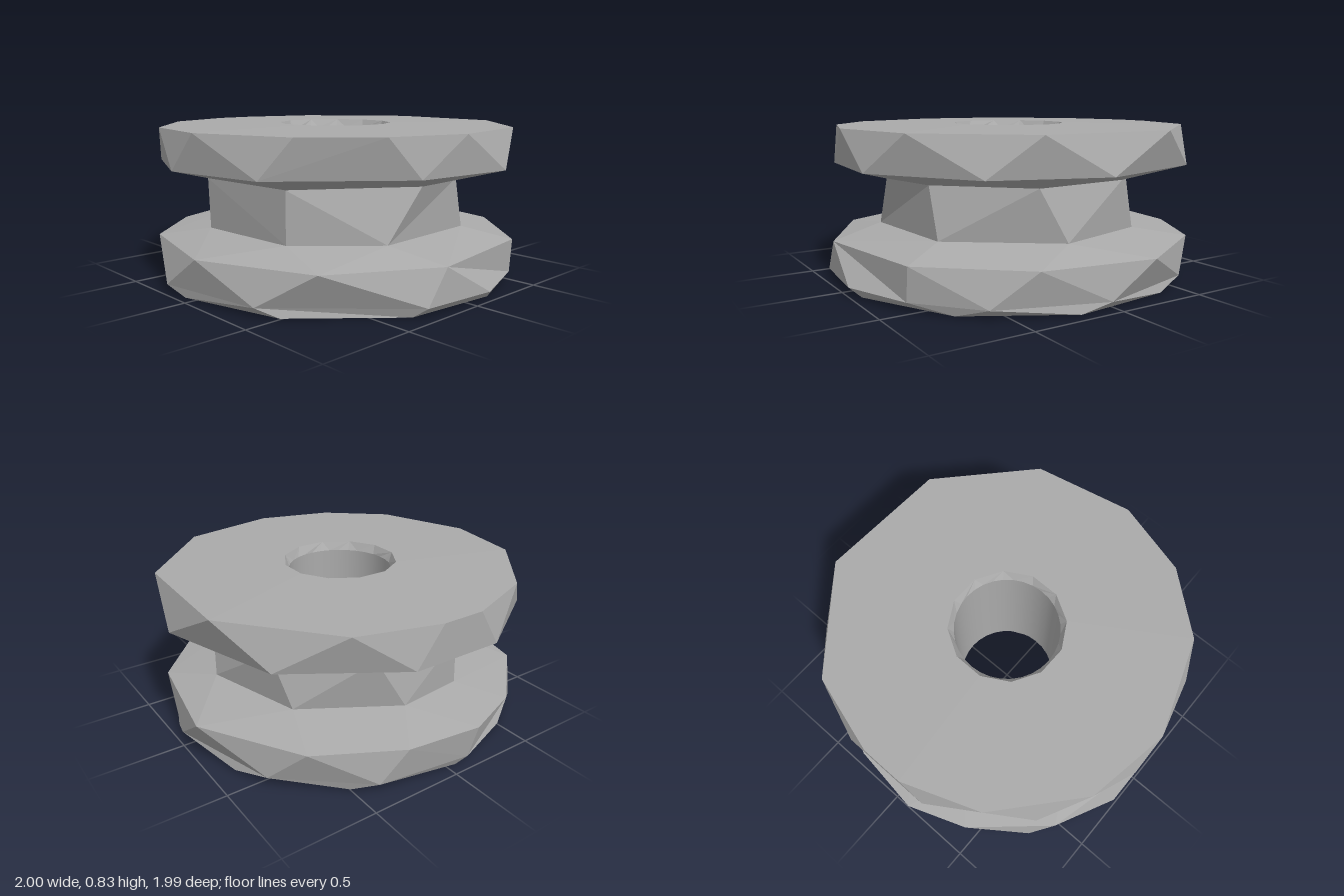
import * as THREE from 'three';

// A ring of [x, z] points at one height, sorted around the axis
function ring(y, pts) {
  return pts
    .map(([x, z]) => ({ p: [x, y, z], a: Math.atan2(x, z) }))
    .sort((s, t) => s.a - t.a);
}

function circle(y, r, n, turn = 0) {
  return ring(y, Array.from({ length: n }, (_, i) => {
    const a = (i / n) * Math.PI * 2 + turn;
    return [r * Math.sin(a), r * Math.cos(a)];
  }));
}

// Joins neighbouring rings with flat triangles, following the angles of their points
function facetedShell(rings) {
  const pos = [];
  const angle = (r, i) => (i < r.length ? r[i].a : r[i - r.length].a + Math.PI * 2);
  const point = (r, i) => r[i % r.length].p;
  for (let k = 0; k < rings.length - 1; k++) {
    const A = rings[k], B = rings[k + 1];
    let i = 0, j = 0;
    while (i < A.length || j < B.length) {
      const stepA = j >= B.length || (i < A.length && angle(A, i + 1) <= angle(B, j + 1));
      if (stepA) {
        pos.push(...point(A, i), ...point(A, i + 1), ...point(B, j));
        i++;
      } else {
        pos.push(...point(A, i), ...point(B, j + 1), ...point(B, j));
        j++;
      }
    }
  }
  const g = new THREE.BufferGeometry();
  g.setAttribute('position', new THREE.Float32BufferAttribute(pos, 3));
  g.computeVertexNormals();
  return g;
}

export function createModel() {
  const group = new THREE.Group();
  const stone = new THREE.MeshStandardMaterial({ color: 0xaaaaaa });
  stone.name = 'stoneGrey';
  const add = (name, geometry) => {
    const mesh = new THREE.Mesh(geometry, stone);
    mesh.name = name;
    group.add(mesh);
  };

  // Waist outlines, shared with the flanges
  const waistLow = ring(0.285, [[-0.26, 0.67], [0.34, 0.64], [0.67, 0.28], [0.63, -0.35],
    [0.12, -0.73], [-0.42, -0.58], [-0.71, -0.1], [-0.67, 0.27]]);
  const waistHigh = ring(0.555, [[-0.26, 0.68], [0.34, 0.64], [0.71, 0.08], [0.64, -0.28],
    [0.25, -0.67], [-0.3, -0.63], [-0.66, -0.25], [-0.68, 0.25]]);

  // Lower flange: hole bevel, underside, chipped rim and sloping shoulder
  add('lowerFlange', facetedShell([
    circle(0.045, 0.28, 32),
    circle(0, 0.31, 12, 0.1),
    ring(0.004, [[-0.06, 0.96], [0.5, 0.81], [0.9, 0.36], [0.95, -0.15], [0.7, -0.65],
      [0.2, -0.94], [-0.35, -0.88], [-0.8, -0.5], [-0.94, 0.05], [-0.8, 0.5], [-0.45, 0.84]]),
    ring(0.05, [[-0.19, 0.985], [0.41, 0.89], [0.96, 0.32], [1, -0.1], [0.86, -0.48],
      [0.6, -0.79], [0.05, -0.98], [-0.55, -0.81], [-0.9, -0.4], [-0.97, 0.1], [-0.66, 0.73]]),
    ring(0.225, [[-0.55, 0.82], [0.07, 0.98], [0.67, 0.73], [0.97, 0.2], [0.86, -0.5],
      [0.4, -0.9], [-0.2, -1], [-0.72, -0.69], [-0.95, -0.27], [-1, 0.13], [-0.88, 0.45]]),
    waistLow,
  ]));

  // Waist
  add('waist', facetedShell([waistLow, waistHigh]));

  // Upper flange: sloping underside, chipped rim, flat top and hole bevel
  add('upperFlange', facetedShell([
    waistHigh,
    ring(0.63, [[-0.13, 0.97], [0.44, 0.88], [0.91, 0.32], [0.965, -0.25], [0.62, -0.79],
      [0.06, -0.99], [-0.6, -0.79], [-0.95, -0.25], [-0.95, 0.25], [-0.64, 0.74]]),
    ring(0.826, [[-0.4, 0.88], [0.05, 0.96], [0.57, 0.78], [0.84, 0.47], [0.96, 0.06],
      [0.85, -0.48], [0.39, -0.91], [-0.32, -0.94], [-0.83, -0.52], [-0.95, -0.1],
      [-0.95, 0.13], [-0.8, 0.53]]),
    circle(0.835, 0.31, 12, 0.25),
    circle(0.79, 0.28, 32),
  ]));

  // Smooth round bore through the middle
  add('bore', new THREE.LatheGeometry(
    [new THREE.Vector2(0.28, 0.79), new THREE.Vector2(0.28, 0.045)], 32));

  return group;
}
